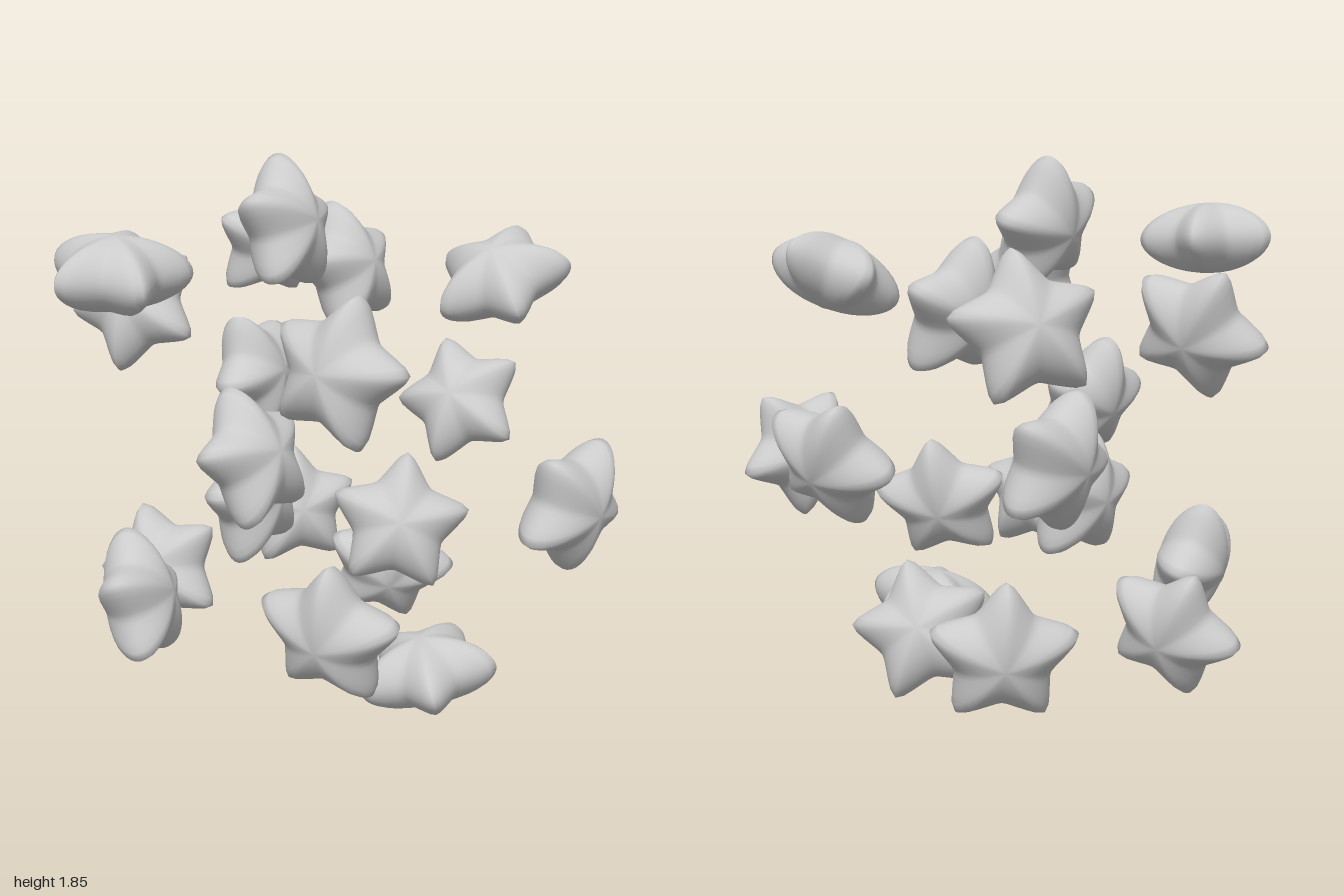
import * as THREE from 'three';
import { mergeVertices } from 'three/addons/utils/BufferGeometryUtils.js';

const HALF_THICKNESS = 0.126;

// Radius of the rounded five-pointed outline, with a point at angle 0
function outline(angle) {
  const tip = 0.28, notch = 0.16, step = Math.PI / 5;
  const u = Math.acos(0.93 * Math.cos(5 * angle)) / 5;
  return (tip * notch * Math.sin(step)) / (tip * Math.sin(u) + notch * Math.sin(step - u));
}

// Puffy star: a sphere squeezed to the outline, lying in the xy plane
function starGeometry() {
  let geo = new THREE.SphereGeometry(1, 60, 20);
  geo.deleteAttribute('uv');
  geo.deleteAttribute('normal');
  geo.rotateX(Math.PI / 2);
  geo = mergeVertices(geo, 1e-4);
  const p = geo.attributes.position;
  for (let i = 0; i < p.count; i++) {
    const x = p.getX(i), y = p.getY(i), z = p.getZ(i);
    const r = outline(Math.atan2(y, x));
    p.setXYZ(i, x * r, y * r, HALF_THICKNESS * z * (0.85 + 0.15 * Math.abs(z)));
  }
  geo.computeVertexNormals();
  return geo;
}

// Each star: centre, face normal, direction of one point
const upperStars = [
  [[-0.69, 1.545, 0.03], [0, 1, 0.1], [0, -0.1, 1]],
  [[-0.44, 1.295, -0.49], [0.69, -0.375, -0.62], [-0.18, -0.05, -0.167]],
  [[-0.245, 1.35, 0.775], [0.86, -0.16, -0.48], [0.065, 0.262, 0.027]],
  [[-0.03, 1.62, -0.09], [0.614, 0.25, 0.75], [0, 0.246, -0.082]],
  [[0.34, 1.38, -0.36], [0.5, 0.3, 0.8], [-0.05, 0.22, -0.06]],
  [[0.265, 1.385, -0.875], [0.05, -0.25, 0.97], [0.035, 0.235, 0.06]],
  [[0.64, 1.44, 0.23], [-0.48, 1, 0.2], [-0.21, -0.1, -0.01]],
];
const middleStars = [
  [[-0.325, 0.934, 0.29], [0.48, 0.38, 0.79], [-0.055, 0.216, -0.07]],
  [[0.11, 0.92, -0.68], [0.615, 0.18, 0.77], [-0.09, 0.225, 0.02]],
  [[0.7, 0.73, 0.65], [0.37, -0.12, 0.92], [0, -0.24, -0.03]],
  [[0.735, 0.863, -0.185], [0.71, -0.455, -0.53], [0.02, 0.21, -0.155]],
  [[0.25, 0.595, 0.25], [-0.45, 0.4, 1], [0.07, 0.25, -0.07]],
  [[-0.17, 0.66, -0.07], [0.55, 0.1, 0.83], [-0.22, 0.06, 0.14]],
];
const lowerStars = [
  [[-0.26, 0.48, 0.76], [0.76, 0.21, -0.605], [-0.03, 0.235, 0.045]],
  [[-0.622, 0.363, -0.02], [0.79, 0.28, 0.54], [-0.02, 0.23, -0.09]],
  [[-0.37, 0.265, -0.48], [0.705, -0.317, -0.635], [-0.085, -0.23, 0.02]],
  [[0.43, 0.245, -0.18], [-0.45, -0.4, 1], [0.03, 0.22, 0.1]],
  [[0.24, 0.138, 0.49], [-0.22, 1, -0.04], [-0.24, -0.05, -0.02]],
  [[0.3, 0.32, -0.73], [-0.2, 0.2, 1], [0, 0.24, -0.05]],
];

export function createModel() {
  const model = new THREE.Group();
  model.name = 'floatingStars';
  const geometry = starGeometry();
  const material = new THREE.MeshStandardMaterial({ color: 0xcccccc });

  const addLayer = (name, stars) => {
    const layer = new THREE.Group();
    layer.name = name;
    stars.forEach(([centre, normal, point], i) => {
      const n = new THREE.Vector3(...normal).normalize();
      const t = new THREE.Vector3(...point).projectOnPlane(n).normalize();
      const side = new THREE.Vector3().crossVectors(n, t);
      const star = new THREE.Mesh(geometry, material);
      star.name = `star${i + 1}`;
      star.quaternion.setFromRotationMatrix(new THREE.Matrix4().makeBasis(t, side, n));
      star.position.set(...centre);
      layer.add(star);
    });
    model.add(layer);
  };

  addLayer('upperStars', upperStars);
  addLayer('middleStars', middleStars);
  addLayer('lowerStars', lowerStars);
  return model;
}
